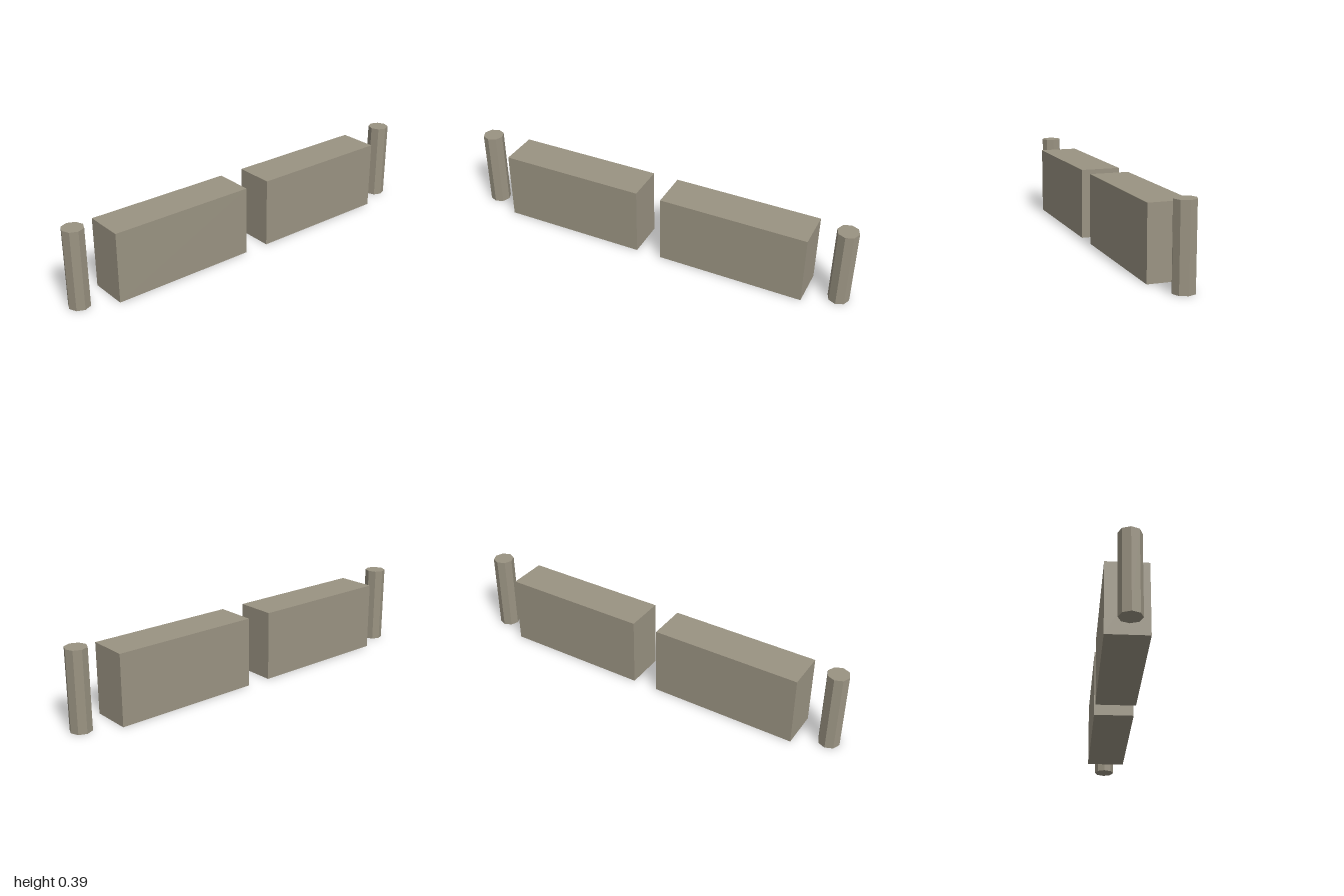
import * as THREE from 'three';

export function createModel() {
  const model = new THREE.Group();
  const stone = new THREE.MeshStandardMaterial({ color: 0x9a9382 });
  stone.name = 'stone';
  stone.flatShading = true;

  const add = (name, geometry, x, height) => {
    const mesh = new THREE.Mesh(geometry, stone);
    mesh.name = name;
    mesh.position.set(x, height / 2, 0);
    model.add(mesh);
  };

  // Two long wall blocks with a narrow gap between them
  const wallHeight = 0.346;
  const wall = new THREE.BoxGeometry(0.732, wallHeight, 0.196);
  add('leftWall', wall, 0.428, wallHeight);
  add('rightWall', wall, -0.432, wallHeight);

  // Eight-sided posts at both ends
  const postHeight = 0.389;
  const post = new THREE.CylinderGeometry(0.052, 0.052, postHeight, 8);
  add('leftPost', post, 0.948, postHeight);
  add('rightPost', post, -0.948, postHeight);

  return model;
}
